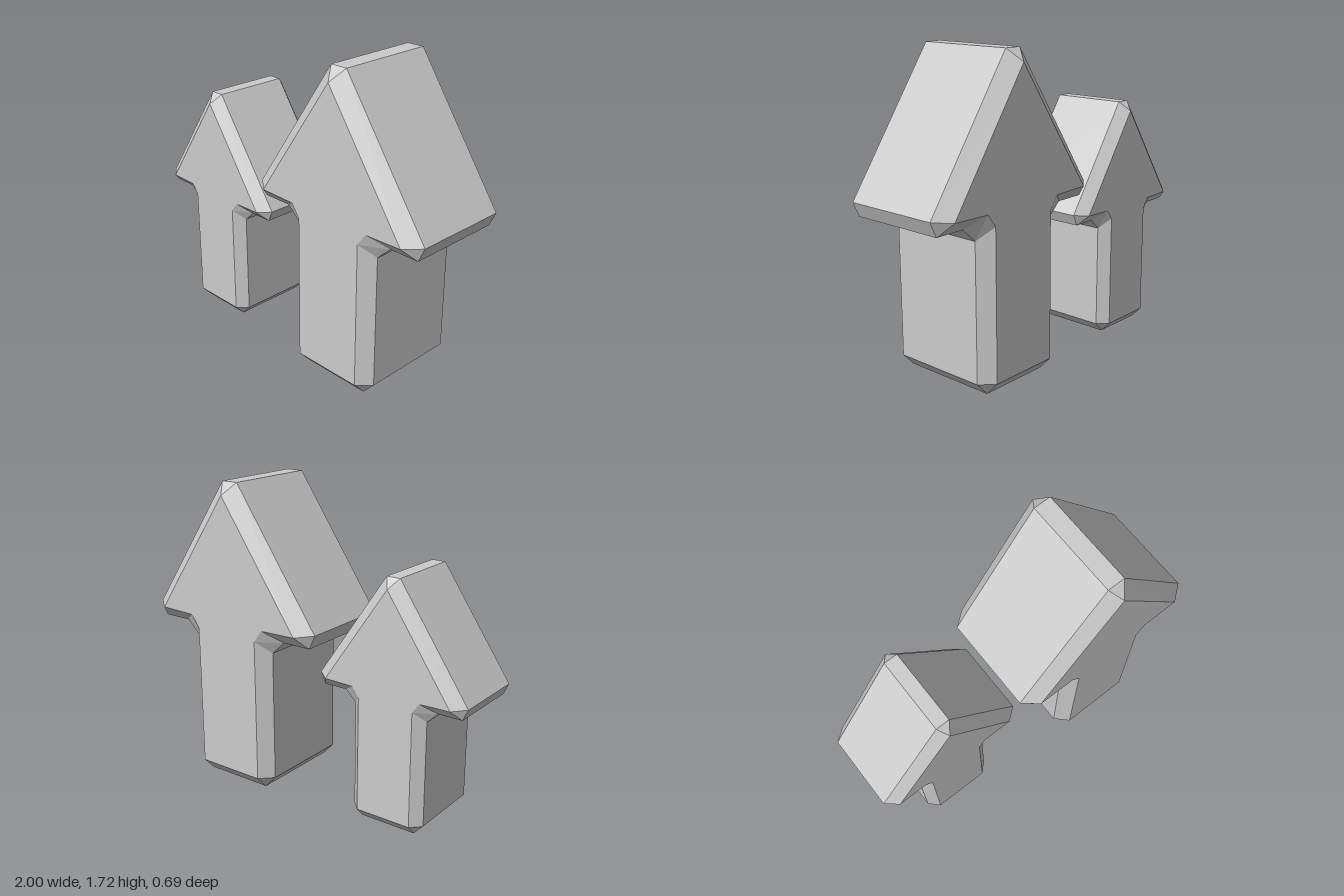
import * as THREE from 'three';

// Right half of the arrow, bottom to top: [side x, side y, face x, face y].
// Each convex corner has two side points that meet in one face point.
const HALF = [
  [0.205, 0, 0.205, 0.075],
  [0.275, 0.075, 0.205, 0.075],
  [0.275, 0.82, 0.205, 0.89],
  [0.355, 0.895, 0.255, 0.96],
  [0.525, 0.895, 0.475, 0.965],
  [0.562, 0.975, 0.475, 0.965],
  [0.05, 1.72, 0, 1.655],
];
const SIDE_Z = 0.275; // where the side walls end
const FACE_Z = 0.345; // front and back faces

function arrowGeometry() {
  const mirrored = HALF.map(([a, b, c, d]) => [-a, b, -c, d]).reverse();
  const outline = [...HALF, ...mirrored];
  const side = (z) => outline.map(([x, y]) => new THREE.Vector3(x, y, z));
  const face = (z) => outline.map(([, , x, y]) => new THREE.Vector3(x, y, z));
  const rings = [face(FACE_Z), side(SIDE_Z), side(-SIDE_Z), face(-FACE_Z)];

  const pos = [];
  const tri = (a, b, c) => {
    const area = b.clone().sub(a).cross(c.clone().sub(a)).length();
    if (area > 1e-8) for (const p of [a, b, c]) pos.push(p.x, p.y, p.z);
  };

  // Front bevel, side walls, back bevel
  const n = outline.length;
  for (let r = 0; r < 3; r++) {
    for (let i = 0; i < n; i++) {
      const j = (i + 1) % n;
      const [a, b, c, d] = [rings[r][i], rings[r + 1][i], rings[r + 1][j], rings[r][j]];
      tri(a, b, c);
      tri(a, c, d);
    }
  }

  // Front and back faces
  const same = (p, q) => p.distanceTo(q) < 1e-6;
  const front = rings[0].filter((p, i) => !same(p, rings[0][(i + 1) % n]));
  const back = front.map((p) => new THREE.Vector3(p.x, p.y, -FACE_Z));
  const flat = front.map((p) => new THREE.Vector2(p.x, p.y));
  for (const [a, b, c] of THREE.ShapeUtils.triangulateShape(flat, [])) {
    tri(front[a], front[b], front[c]);
    tri(back[a], back[c], back[b]);
  }

  const geometry = new THREE.BufferGeometry();
  geometry.setAttribute('position', new THREE.Float32BufferAttribute(pos, 3));
  geometry.computeVertexNormals();
  return geometry;
}

export function createModel() {
  const model = new THREE.Group();
  model.name = 'arrowPair';
  const material = new THREE.MeshStandardMaterial({ color: 0xcccccc, flatShading: true });
  const geometry = arrowGeometry();

  // The same arrow at two sizes, side by side
  const addArrow = (name, x, scale) => {
    const arrow = new THREE.Mesh(geometry, material);
    arrow.name = name;
    arrow.position.x = x;
    arrow.scale.setScalar(scale);
    model.add(arrow);
  };
  addArrow('largeArrow', 0.437, 1);
  addArrow('smallArrow', -0.56, 0.782);
  return model;
}
